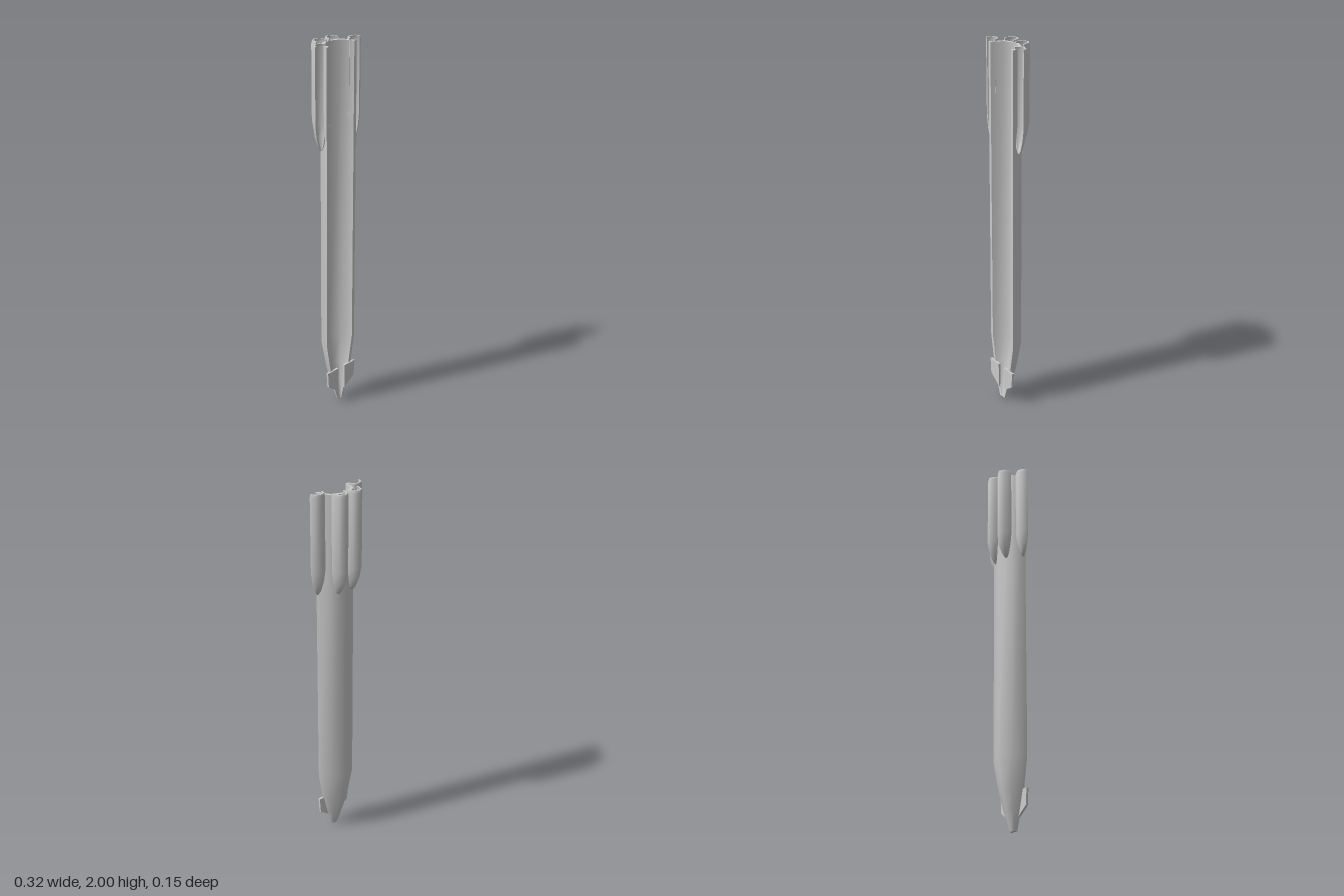
import * as THREE from 'three';
import { toCreasedNormals } from 'three/addons/utils/BufferGeometryUtils.js';

const material = new THREE.MeshStandardMaterial({ color: 0xcccccc, side: THREE.DoubleSide });

// Half-octagon shell, open to +z. rows: [y, scale] from bottom to top.
function halfShell(name, rows, rx, rz, wall, x, z) {
  const sides = 4, n = (sides + 1) * 2;
  const pos = [], idx = [];
  for (const [y, s] of rows) {
    for (let j = 0; j < n; j++) {
      const inner = j > sides;
      const a = ((inner ? n - 1 - j : j) / sides) * Math.PI;
      const t = inner ? wall : 0;
      const ax = Math.max(rx * s - t, 0.001), az = Math.max(rz * s - t, 0.001);
      pos.push(Math.cos(a) * ax, y, -Math.sin(a) * az);
    }
  }
  const quad = (a, b, c, d) => idx.push(a, b, c, a, c, d);
  for (let k = 0; k < rows.length - 1; k++) {
    for (let j = 0; j < n; j++) {
      const j2 = (j + 1) % n, lo = k * n, hi = lo + n;
      quad(lo + j, lo + j2, hi + j2, hi + j);
    }
  }
  // rims at the top and the bottom
  const top = (rows.length - 1) * n;
  for (let j = 0; j < sides; j++) {
    const o = j, o2 = j + 1, i = n - 1 - j, i2 = n - 2 - j;
    quad(top + o, top + o2, top + i2, top + i);
    quad(o, i, i2, o2);
  }
  const geo = new THREE.BufferGeometry();
  geo.setAttribute('position', new THREE.Float32BufferAttribute(pos, 3));
  geo.setIndex(idx);
  const mesh = new THREE.Mesh(toCreasedNormals(geo, THREE.MathUtils.degToRad(63)), material);
  mesh.name = name;
  mesh.position.set(x, 0, z);
  return mesh;
}

export function createModel() {
  const model = new THREE.Group();
  model.name = 'halfRocket';

  // long body with the nose pointing down
  const bodyRows = [[0, 0.21], [0.1, 0.5], [0.2, 0.74], [0.36, 1], [1.99, 1]];
  model.add(halfShell('body', bodyRows, 0.105, 0.104, 0.017, 0, 0.067));

  // boosters around the upper end
  const boosterRows = [[1.47, 0.15], [1.49, 0.45], [1.54, 0.8], [1.6, 1], [1.985, 1], [2, 0.93]];
  const boosters = [
    ['leftSideBooster', 0.118, 0.044, 0.04],
    ['rightSideBooster', -0.119, 0.044, 0.04],
    ['leftBackBooster', 0.036, -0.018, 0.058],
    ['rightBackBooster', -0.053, -0.018, 0.058],
  ];
  for (const [name, x, z, depth] of boosters) {
    model.add(halfShell(name, boosterRows, 0.041, depth, 0.008, x, z));
  }

  // flat fins beside the nose
  for (const side of [1, -1]) {
    const corners = [[0.024, 0.2], [0.024, 0.058], [0.098, 0.112], [0.104, 0.2]];
    const shape = new THREE.Shape(corners.map(([x, y]) => new THREE.Vector2(x * side, y)));
    const fin = new THREE.Mesh(
      new THREE.ExtrudeGeometry(shape, { depth: 0.012, bevelEnabled: false }), material);
    fin.name = side > 0 ? 'leftFin' : 'rightFin';
    fin.position.z = 0.061;
    model.add(fin);
  }
  return model;
}
